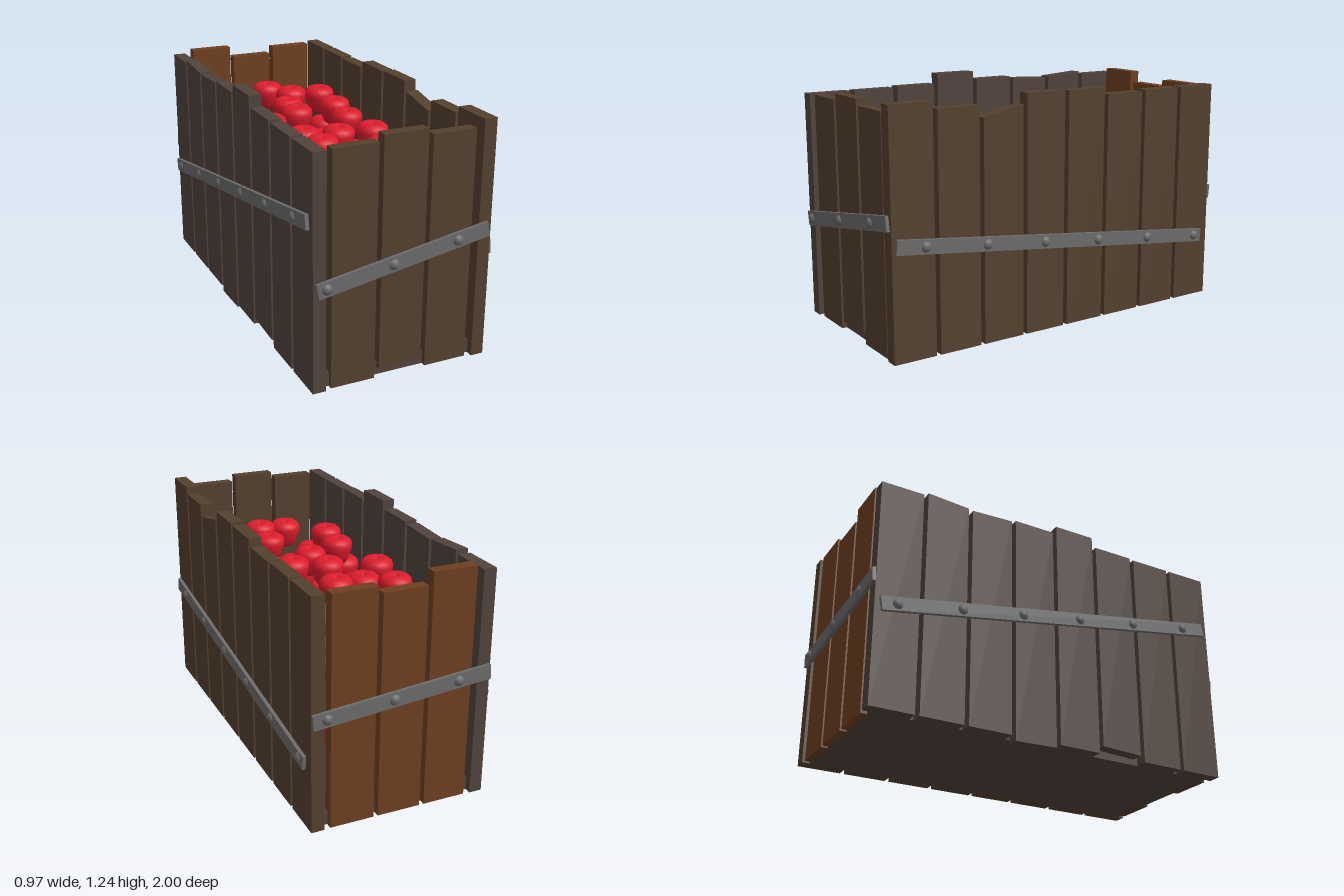
import * as THREE from 'three';

const mat = (color, extra = {}) => new THREE.MeshStandardMaterial({ color, ...extra });
const brown = mat(0x54412f, { flatShading: true });
const greyBrown = mat(0x51433c, { flatShading: true });
const rust = mat(0x6e4020, { flatShading: true });
const iron = mat(0x6c6c6c);
const red = mat(0xdd1c2c);

function add(parent, name, geometry, material, x = 0, y = 0, z = 0) {
  const mesh = new THREE.Mesh(geometry, material);
  mesh.name = name;
  mesh.position.set(x, y, z);
  parent.add(mesh);
  return mesh;
}

// Upright board whose top and bottom may slope from one edge to the other
function plankGeometry(width, thick, [low0, low1], [top0, top1]) {
  const geometry = new THREE.BoxGeometry(width, 1, thick);
  const p = geometry.attributes.position;
  for (let i = 0; i < p.count; i++) {
    const right = p.getX(i) > 0;
    const up = p.getY(i) > 0;
    p.setY(i, up ? (right ? top1 : top0) : (right ? low1 : low0));
  }
  geometry.computeVertexNormals();
  return geometry;
}

// One wall, built facing +z and then turned; u runs along the wall
function wall(crate, { name, turn, material, pitch, thick, face, strapFace, strap, width, rivets, planks }) {
  const group = new THREE.Group();
  group.name = name;
  group.rotation.y = turn;
  crate.add(group);
  planks.forEach(([low0, low1, top0, top1], i) => {
    const u = (i - (planks.length - 1) / 2) * pitch;
    add(group, 'plank', plankGeometry(0.222, thick, [low0, low1], [top0, top1]), material, u, 0, face - thick / 2);
  });

  // Sloping iron strap with domed rivets along its centre line
  const [u0, y0, u1, y1] = strap;
  const bar = add(group, 'strap', new THREE.BoxGeometry(Math.hypot(u1 - u0, y1 - y0), width, 0.018),
    iron, (u0 + u1) / 2, (y0 + y1) / 2, strapFace - 0.009);
  bar.rotation.z = Math.atan2(y1 - y0, u1 - u0);
  for (const u of rivets) {
    const y = y0 + (y1 - y0) * (u - u0) / (u1 - u0);
    add(group, 'rivet', new THREE.SphereGeometry(0.03, 14, 10), iron, u, y, strapFace - 0.014);
  }
}

// Apples seen from above as [x, z]: upper layer, then the one below it
const upper = [
  [-0.29, -0.81], [0.06, -0.82], [0.15, -0.67], [0.31, -0.63], [0.07, -0.53], [-0.25, -0.4],
  [0.3, -0.4], [-0.14, -0.27], [0.03, -0.31], [-0.27, -0.16], [0.27, -0.18], [-0.07, 0.01],
  [0.1, 0.07], [0.26, 0.14], [-0.05, 0.19], [-0.25, 0.28], [0.24, 0.3], [-0.27, 0.47],
  [0.06, 0.51], [0.25, 0.55], [-0.1, 0.67], [0.06, 0.65], [0.27, 0.76],
];
const under = [
  [-0.14, -0.8], [0.26, -0.84], [-0.28, -0.69], [-0.15, -0.66], [-0.05, -0.66], [0.05, -0.6],
  [0.27, -0.48], [-0.12, -0.42], [0.22, -0.34], [-0.1, -0.19], [0.09, -0.15], [0.26, -0.07],
  [-0.26, 0.04], [-0.13, 0.05], [-0.31, 0.32], [0.1, 0.33], [-0.07, 0.37], [0.08, 0.43],
  [-0.08, 0.51], [-0.25, 0.63], [0.11, 0.66], [0.28, 0.71],
];

function makeApples(crate) {
  const group = new THREE.Group();
  group.name = 'apples';
  crate.add(group);
  const profile = [[0, -0.066], [0.028, -0.076], [0.052, -0.064], [0.07, -0.03], [0.082, 0.01],
    [0.086, 0.035], [0.08, 0.058], [0.06, 0.074], [0.035, 0.077], [0.015, 0.07], [0, 0.06]];
  const geometry = new THREE.LatheGeometry(profile.map(([r, y]) => new THREE.Vector2(r, y)), 20);
  let seed = 7;
  const jitter = (range) => {
    seed = (seed * 16807) % 2147483647;
    return (seed / 2147483647 - 0.5) * 2 * range;
  };
  // Each list repeats two layers further down
  [[upper, 0.91, 0], [under, 0.76, 0], [upper, 0.58, 0.02], [under, 0.43, 0.02]].forEach(([list, y, shift]) => {
    for (const [x, z] of list) {
      add(group, 'apple', geometry, red, x * (1 - shift) + jitter(shift), y + jitter(0.02), z + jitter(shift));
    }
  });
}

export function createModel() {
  const crate = new THREE.Group();
  crate.name = 'appleCrate';
  add(crate, 'floor', new THREE.BoxGeometry(0.78, 0.07, 1.86), greyBrown, 0, 0.065, 0);

  const end = { pitch: 0.245, thick: 0.057, strapFace: 0.984, width: 0.074 };
  wall(crate, {
    ...end, name: 'frontWall', turn: 0, material: brown, face: 0.955,
    strap: [-0.435, 0.543, 0.435, 0.695], rivets: [-0.39, -0.06, 0.27],
    planks: [[0.03, 0.03, 1.185, 1.185], [0.07, 0.09, 1.215, 1.215], [0.03, 0.03, 1.185, 1.185]],
  });
  wall(crate, {
    ...end, name: 'backWall', turn: Math.PI, material: rust, face: 0.963,
    strap: [-0.45, 0.6, 0.45, 0.68], rivets: [-0.38, -0.05, 0.28],
    planks: [[0.03, 0.03, 1.185, 1.185], [0.03, 0.03, 1.15, 1.15], [0.03, 0.03, 1.21, 1.21]],
  });

  const side = { pitch: 0.2447, thick: 0.065, face: 0.453, strapFace: 0.472, width: 0.07 };
  wall(crate, {
    ...side, name: 'leftWall', turn: Math.PI / 2, material: brown,
    strap: [-0.95, 0.588, 0.91, 0.368], rivets: [-0.8, -0.47, -0.135, 0.195, 0.525, 0.86],
    planks: [
      [0.03, 0.03, 1.225, 1.225], [0.03, 0.03, 1.19, 1.19], [0.03, 0.03, 1.13, 1.175], [0.03, 0.03, 1.225, 1.225],
      [0.03, 0.03, 1.22, 1.22], [0.03, 0.03, 1.185, 1.185], [0.03, 0.03, 1.19, 1.19], [0.03, 0.03, 1.19, 1.19],
    ],
  });
  wall(crate, {
    ...side, name: 'rightWall', turn: -Math.PI / 2, material: greyBrown,
    strap: [-0.94, 0.528, 0.93, 0.862], rivets: [-0.86, -0.53, -0.2, 0.13, 0.46, 0.79],
    planks: [
      [0.03, 0.03, 1.185, 1.185], [0.03, 0.03, 1.2, 1.185], [0.03, 0.03, 1.18, 1.19], [0.005, 0.012, 1.2, 1.2],
      [0.03, 0.03, 1.243, 1.243], [0.07, 0.06, 1.19, 1.19], [0.03, 0.03, 1.185, 1.185], [0.03, 0.03, 1.185, 1.185],
    ],
  });

  makeApples(crate);
  return crate;
}
